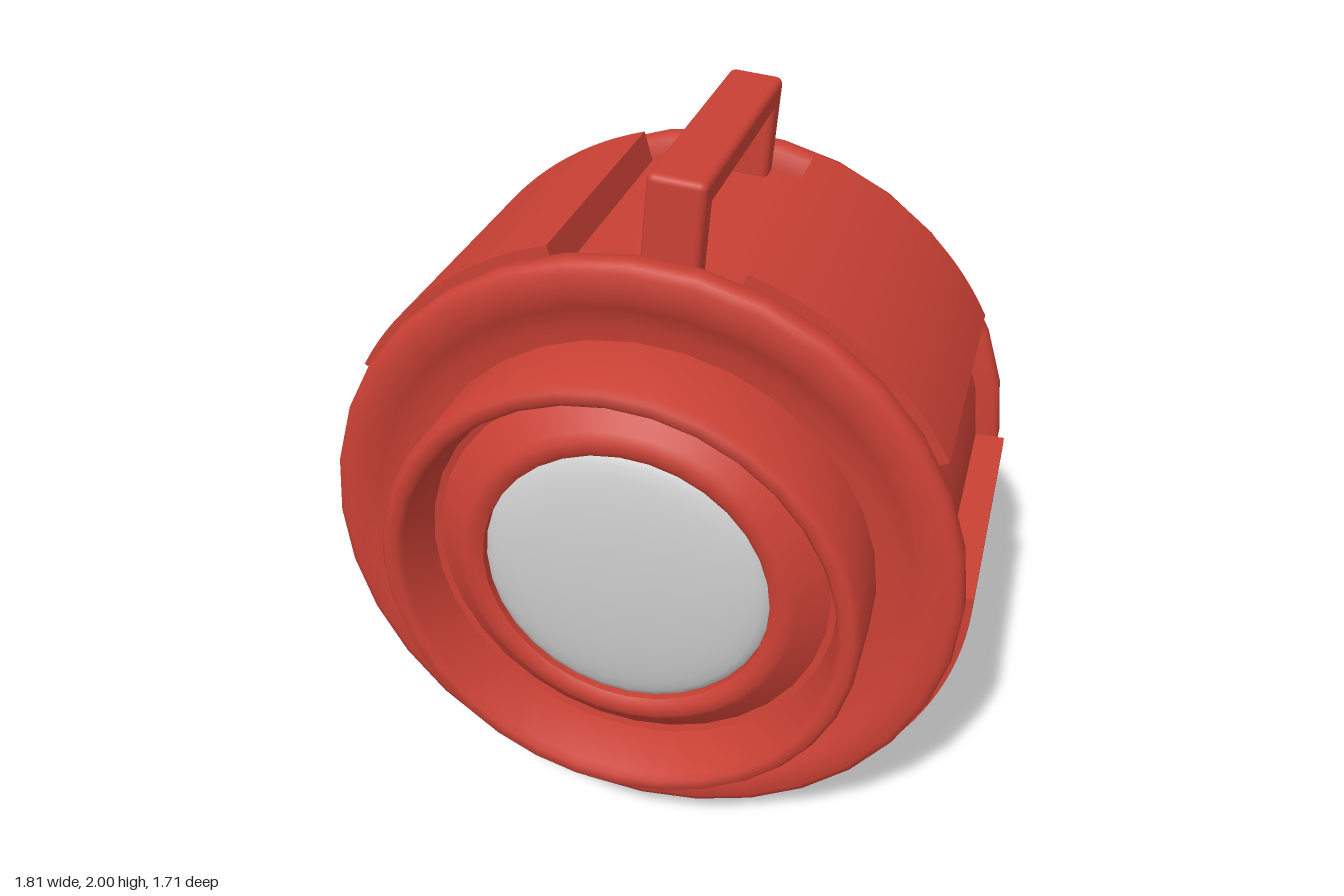
import * as THREE from 'three';
import { toCreasedNormals } from 'three/addons/utils/BufferGeometryUtils.js';
import { RoundedBoxGeometry } from 'three/addons/geometries/RoundedBoxGeometry.js';

const AXIS_Y = 0.905; // height of the axis that runs along z
const red = new THREE.MeshStandardMaterial({ color: 0xc94034, side: THREE.DoubleSide });
const grey = new THREE.MeshStandardMaterial({ color: 0xcccccc, side: THREE.DoubleSide });

function add(parent, name, geometry, material = red) {
  const mesh = new THREE.Mesh(geometry, material);
  mesh.name = name;
  parent.add(mesh);
  return mesh;
}

// Turned part: [radius, z] pairs listed from back to front
function turned(profile, crease = 0.6) {
  const points = profile.map(([r, z]) => new THREE.Vector2(r, z));
  const lathe = new THREE.LatheGeometry(points, 32).rotateX(Math.PI / 2);
  return toCreasedNormals(lathe, crease);
}

// Curved plate around the barrel
function panelGeometry(from, to) {
  const a = THREE.MathUtils.degToRad(from), b = THREE.MathUtils.degToRad(to);
  const shape = new THREE.Shape();
  shape.absarc(0, 0, 0.907, a, b, false);
  shape.absarc(0, 0, 0.8, b, a, true);
  shape.closePath();
  const plate = new THREE.ExtrudeGeometry(shape, { depth: 0.82, bevelEnabled: false, curveSegments: 8 });
  return toCreasedNormals(plate.translate(0, 0, -0.25), 0.5);
}

export function createModel() {
  const model = new THREE.Group();
  model.name = 'lamp';
  const body = new THREE.Group();
  body.name = 'body';
  body.position.y = AXIS_Y;
  model.add(body);

  // Domed back shell
  add(body, 'backDome', turned([
    [0, -0.855], [0.32, -0.855], [0.43, -0.81], [0.53, -0.735], [0.605, -0.64],
    [0.64, -0.53], [0.675, -0.42], [0.71, -0.375], [0.76, -0.345], [0.82, -0.33],
  ], 0.8));

  // Rear rim, barrel and front rim
  add(body, 'rearRim', turned([
    [0.78, -0.325], [0.86, -0.335], [0.88, -0.325], [0.888, -0.3], [0.888, -0.265], [0.875, -0.25], [0.8, -0.25],
  ], 0.9));
  add(body, 'barrel', turned([[0.82, -0.3], [0.82, 0.6]]));
  add(body, 'frontRim', turned([
    [0.8, 0.57], [0.875, 0.57], [0.888, 0.585], [0.888, 0.62], [0.88, 0.64],
    [0.86, 0.65], [0.79, 0.65], [0.76, 0.63], [0.7, 0.61], [0.64, 0.605],
  ], 0.9));

  // Collar with its recessed inside and the bezel around the lens
  add(body, 'collar', turned([
    [0.655, 0.58], [0.655, 0.835], [0.64, 0.853], [0.61, 0.853], [0.595, 0.835],
    [0.57, 0.69], [0.55, 0.685], [0.47, 0.75], [0.45, 0.765], [0.42, 0.765], [0.4, 0.75], [0.4, 0.7],
  ], 0.9));

  // Bulging lens
  const lens = [];
  for (let i = 0; i <= 8; i++) {
    const t = (i / 8) * Math.PI / 2;
    lens.push([0.402 * Math.cos(t), 0.72 + 0.07 * Math.sin(t)]);
  }
  add(body, 'lens', turned(lens, 1.2), grey);

  // Five raised side panels
  const panels = [[27, 72], [105, 150], [180, 225], [248, 292], [316, 360]];
  for (const [from, to] of panels) add(body, 'sidePanel', panelGeometry(from, to));

  // Carrying handle, leaning slightly to the left
  const handle = new THREE.Group();
  handle.name = 'handle';
  handle.rotation.z = -0.095;
  body.add(handle);
  const bar = add(handle, 'handleGrip', new RoundedBoxGeometry(0.155, 0.08, 0.82, 3, 0.02));
  bar.position.set(0, 1.053, 0.16);
  for (const z of [0.53, -0.21]) {
    const leg = add(handle, 'handleLeg', new RoundedBoxGeometry(0.155, 0.29, 0.08, 3, 0.02));
    leg.position.set(0, 0.945, z);
  }
  return model;
}
